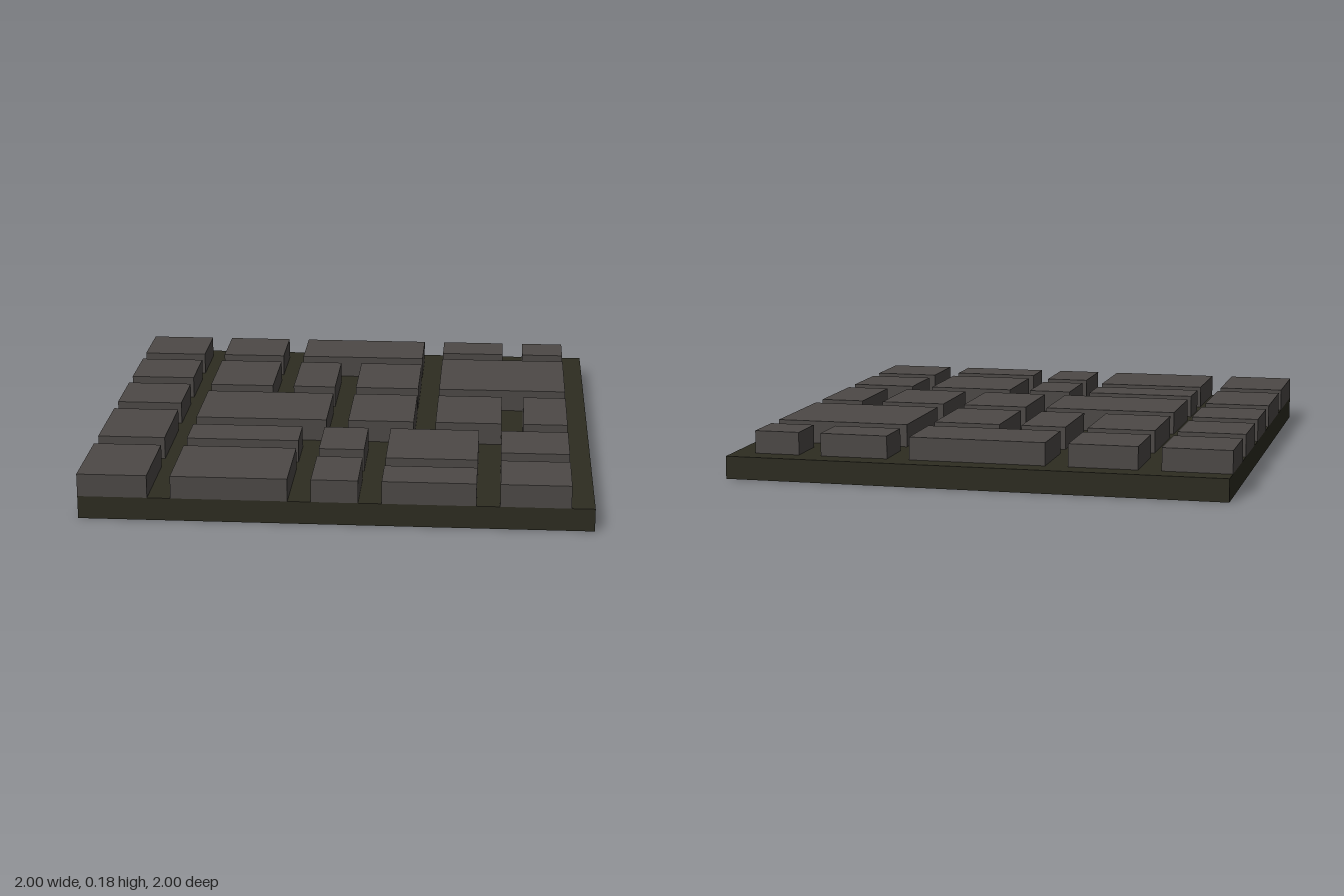
import * as THREE from 'three';

const U = 2 / 22; // one layout cell

// Stones as [x0, z0, x1, z1] in cells from the back right corner
const STONES = [
  // right edge column
  [0, 1, 3, 4], [0, 5, 3, 8], [0, 9, 3, 12], [0, 13, 3, 17], [0, 18, 3, 22],
  // back row
  [4, 1, 7, 4], [8, 1, 14, 4], [15, 1, 18, 3], [19, 1, 21, 3],
  // second row
  [4, 5, 7, 9], [8, 5, 10, 9], [11, 5, 14, 9], [15, 4, 21, 9],
  // middle row
  [4, 10, 10, 14], [11, 10, 14, 14], [15, 10, 18, 14], [19, 10, 21, 14],
  // front rows
  [4, 15, 9, 17], [10, 15, 12, 18], [13, 15, 17, 19], [18, 15, 21, 18],
  [4, 18, 9, 22], [10, 19, 12, 22], [13, 20, 17, 22], [18, 19, 21, 22],
];

export function createModel() {
  const stone = new THREE.MeshStandardMaterial({ color: 0x4d4947 });
  stone.name = 'greyStone';
  const earth = new THREE.MeshStandardMaterial({ color: 0x2d2c21 });
  earth.name = 'darkEarth';

  const model = new THREE.Group();
  model.name = 'cobbledFloorTile';

  // Ground slab
  const slab = new THREE.Mesh(new THREE.BoxGeometry(2, U, 2), earth);
  slab.name = 'groundSlab';
  slab.position.y = U / 2;
  model.add(slab);

  // Paving stones resting on the slab
  const paving = new THREE.Group();
  paving.name = 'pavingStones';
  STONES.forEach(([x0, z0, x1, z1], i) => {
    const block = new THREE.Mesh(new THREE.BoxGeometry((x1 - x0) * U, U, (z1 - z0) * U), stone);
    block.name = `pavingStone${i + 1}`;
    block.position.set(((x0 + x1) / 2) * U - 1, U * 1.5, ((z0 + z1) / 2) * U - 1);
    paving.add(block);
  });
  model.add(paving);

  return model;
}
